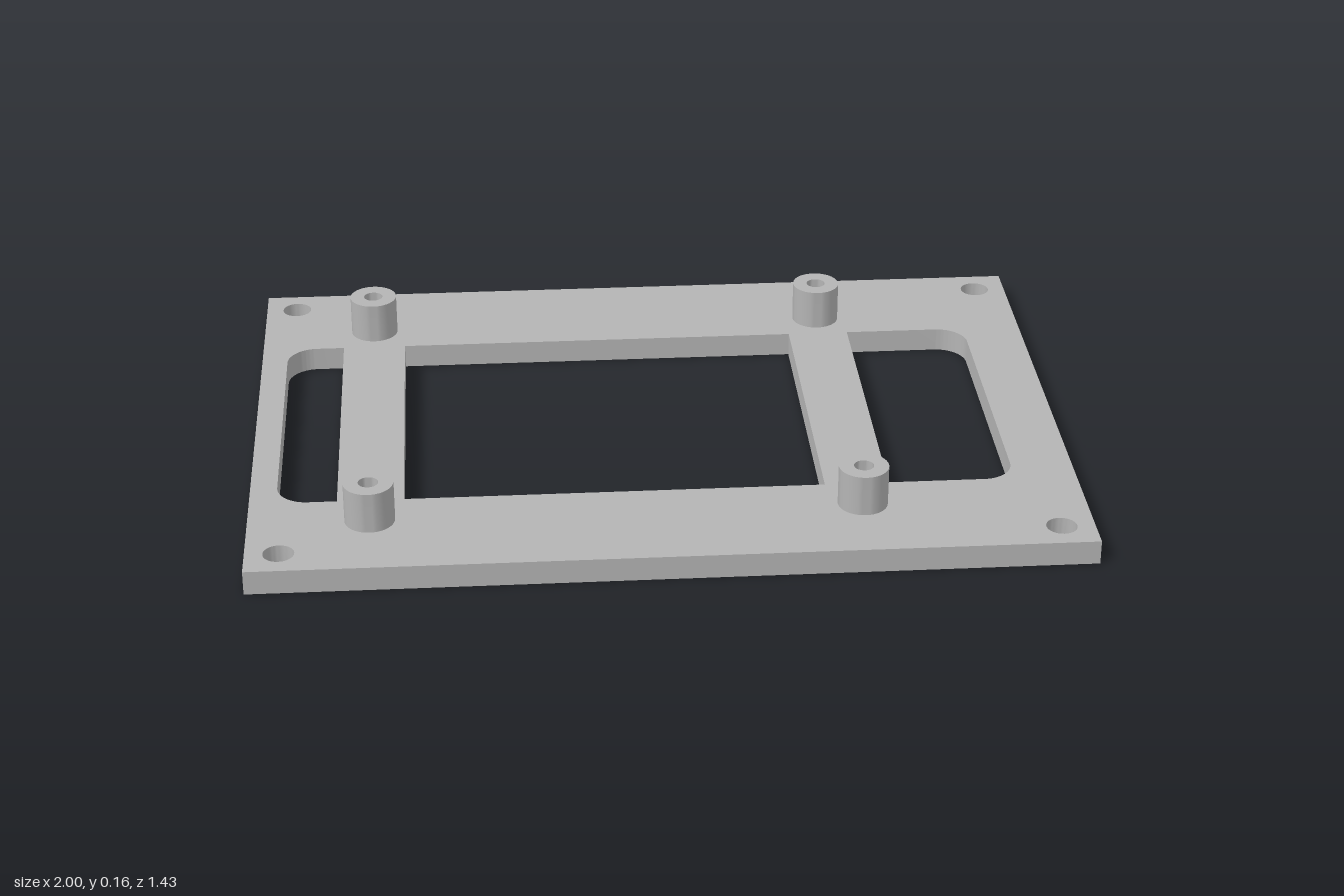
import * as THREE from 'three';
import { toCreasedNormals } from 'three/addons/utils/BufferGeometryUtils.js';

const PLATE_H = 0.06, POST_H = 0.102;

// Closed circular path, used for bores and posts
function circle(x, y, r, PathType = THREE.Path) {
  const p = new PathType();
  p.absarc(x, y, r, 0, Math.PI * 2, false);
  return p;
}

// Rectangular window with separate corner radii at its left and right ends
function windowPath(x0, x1, h, rl, rr) {
  const p = new THREE.Path();
  p.moveTo(x0 + rl, -h);
  p.lineTo(x1 - rr, -h);
  if (rr) p.absarc(x1 - rr, -h + rr, rr, -Math.PI / 2, 0, false);
  p.lineTo(x1, h - rr);
  if (rr) p.absarc(x1 - rr, h - rr, rr, 0, Math.PI / 2, false);
  p.lineTo(x0 + rl, h);
  if (rl) p.absarc(x0 + rl, h - rl, rl, Math.PI / 2, Math.PI, false);
  p.lineTo(x0, -h + rl);
  if (rl) p.absarc(x0 + rl, -h + rl, rl, Math.PI, Math.PI * 1.5, false);
  return p;
}

// Extrude a flat shape upwards, smooth on curves and sharp on edges
function extrudeUp(shape, depth) {
  const g = new THREE.ExtrudeGeometry(shape, { depth, bevelEnabled: false, curveSegments: 20 });
  g.rotateX(-Math.PI / 2);
  return toCreasedNormals(g, 0.6);
}

export function createModel() {
  const model = new THREE.Group();
  model.name = 'mountingPlate';
  const grey = new THREE.MeshStandardMaterial({ name: 'grey', color: 0xb4b4b4 });

  // Base plate with three windows and four corner screw holes
  const W = 1, D = 0.715;
  const plate = new THREE.Shape([[-W, -D], [W, -D], [W, D], [-W, D]].map(([x, y]) => new THREE.Vector2(x, y)));
  plate.holes.push(
    windowPath(-0.935, -0.79, 0.403, 0.075, 0),
    windowPath(-0.63, 0.385, 0.403, 0, 0),
    windowPath(0.54, 0.85, 0.403, 0, 0.075),
  );
  for (const x of [-0.92, 0.92])
    for (const z of [-0.637, 0.637]) plate.holes.push(circle(x, z, 0.037));
  const base = new THREE.Mesh(extrudeUp(plate, PLATE_H), grey);
  base.name = 'basePlate';
  model.add(base);

  // Four standoffs with blind bores
  const ring = circle(0, 0, 0.06, THREE.Shape);
  ring.holes.push(circle(0, 0, 0.024));
  const postGeometry = extrudeUp(ring, POST_H);
  for (const x of [-0.71, 0.465])
    for (const z of [-0.496, 0.496]) {
      const post = new THREE.Mesh(postGeometry, grey);
      post.name = `${z > 0 ? 'front' : 'back'}${x > 0 ? 'Left' : 'Right'}Standoff`;
      post.position.set(x, PLATE_H, z);
      model.add(post);
    }
  return model;
}
